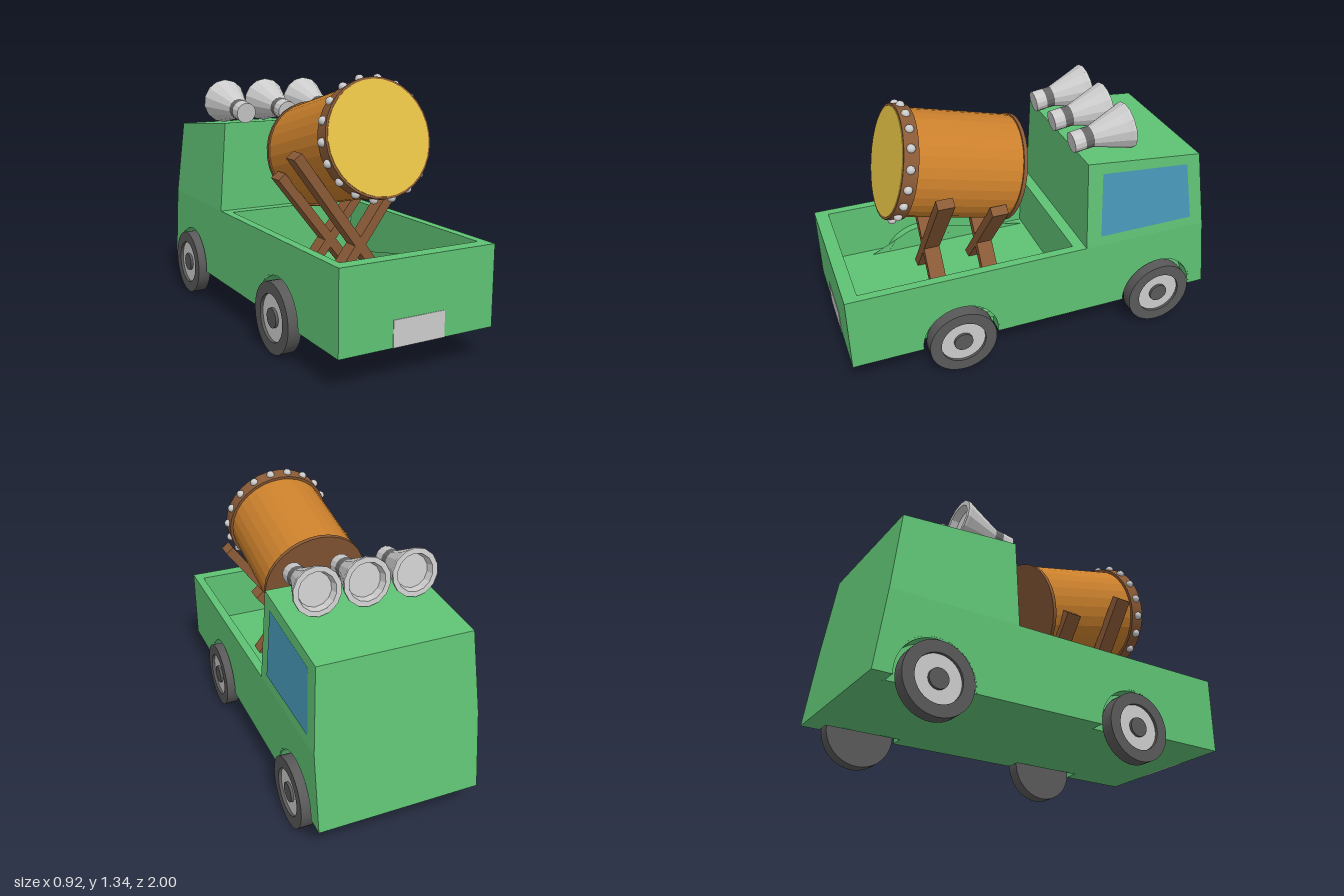
import * as THREE from 'three';
import { toCreasedNormals } from 'three/addons/utils/BufferGeometryUtils.js';

const mat = (color, opts = {}) => new THREE.MeshStandardMaterial({ color, ...opts });
const GREEN = mat(0x5fc274), BLUE = mat(0x4898b8, { side: THREE.DoubleSide });
const GREY = mat(0xcccccc), FLAT_GREY = mat(0xcccccc, { flatShading: true });
const DARK = mat(0x666666, { flatShading: true }), TYRE = mat(0x595959);
const WOOD = mat(0x8a5a36), DRUM = mat(0xcb802c, { flatShading: true }), SKIN = mat(0xe6c246);

const ARCH_R = 0.21, AXLE_Y = 0.18, BOTTOM = 0.165, RIM = 0.57;
const AXLES = [-0.7, 0.43];

export function createModel() {
  const model = new THREE.Group();

  const add = (parent, name, geo, material, x = 0, y = 0, z = 0) => {
    const m = new THREE.Mesh(geo, material);
    m.name = name;
    m.position.set(x, y, z);
    parent.add(m);
    return m;
  };
  // Box given by its limits
  const box = (name, x0, x1, y0, y1, z0, z1, material) =>
    add(model, name, new THREE.BoxGeometry(x1 - x0, y1 - y0, z1 - z0), material,
      (x0 + x1) / 2, (y0 + y1) / 2, (z0 + z1) / 2);
  // Side profile in (z, y), extruded from x0 to x1
  const slab = (name, shape, x0, x1) => {
    const geo = new THREE.ExtrudeGeometry(shape, { depth: x1 - x0, bevelEnabled: false, curveSegments: 28 });
    geo.rotateY(-Math.PI / 2);
    add(model, name, geo, GREEN, x1);
  };
  const bothSides = (name, shape, x0, x1) => {
    slab(name, shape, x0, x1);
    slab(name, shape, -x1, -x0);
  };
  // Wall outline with a round wheel opening cut in its lower edge
  const dip = Math.asin((AXLE_Y - BOTTOM) / ARCH_R);
  const archedWall = (zb, zf, topY, axleZ, zbTop = zb) => {
    const s = new THREE.Shape();
    s.moveTo(zf, BOTTOM);
    s.lineTo(zf, topY);
    s.lineTo(zbTop, topY);
    s.lineTo(zb, BOTTOM);
    s.absarc(axleZ, AXLE_Y, ARCH_R, Math.PI + dip, -dip, true);
    s.closePath();
    return s;
  };

  // Load bed
  bothSides('bedSide', archedWall(-0.2, 1, RIM, AXLES[1]), 0.375, 0.42);
  bothSides('bedFloorEdge', archedWall(-0.2, 0.93, 0.27, AXLES[1]), 0.33, 0.375);
  box('bedFloor', -0.33, 0.33, BOTTOM, 0.27, -0.2, 0.93, GREEN);
  box('tailgate', -0.375, 0.375, BOTTOM, RIM, 0.93, 1, GREEN);
  box('plate', -0.14, 0.14, BOTTOM, 0.295, 0.99, 1.003, GREY);

  // Lower cab
  bothSides('lowerCabSide', archedWall(-1, -0.2, RIM, AXLES[0], -0.946), 0.33, 0.42);
  const core = new THREE.Shape([[-1, BOTTOM], [-0.2, BOTTOM], [-0.2, RIM], [-0.946, RIM]]
    .map(p => new THREE.Vector2(...p)));
  slab('lowerCab', core, -0.33, 0.33);

  // Upper cab, its sides leaning inwards
  const sideX = y => 0.42 - 0.073 * (y - RIM);
  const ring = [[RIM, -0.26], [1.05, -0.26], [0.99, -0.89], [RIM, -0.946]];
  const pts = [1, -1].flatMap(s => ring.flatMap(([y, z]) => [s * sideX(y), y, z]));
  const idx = [0, 3, 2, 0, 2, 1, 4, 6, 7, 4, 5, 6];
  for (let i = 0; i < 4; i++) {
    const j = (i + 1) % 4;
    idx.push(i, j, j + 4, i, j + 4, i + 4);
  }
  const cab = new THREE.BufferGeometry();
  cab.setAttribute('position', new THREE.Float32BufferAttribute(pts, 3));
  cab.setIndex(idx);
  const cabGeo = cab.toNonIndexed();
  cabGeo.computeVertexNormals();
  add(model, 'upperCab', cabGeo, GREEN);

  // Side window
  const win = new THREE.BufferGeometry();
  win.setAttribute('position', new THREE.Float32BufferAttribute(
    [[0.985, -0.34], [0.625, -0.34], [0.625, -0.865], [0.945, -0.82]]
      .flatMap(([y, z]) => [sideX(y) + 0.003, y, z]), 3));
  win.setIndex([0, 1, 2, 0, 2, 3]);
  win.computeVertexNormals();
  add(model, 'sideWindow', win, BLUE);

  // Wheel wells and wheels
  const tyreGeo = toCreasedNormals(new THREE.LatheGeometry(
    [[0, 0], [0.18, 0], [0.18, 0.07], [0.12, 0.07], [0.12, 0.045]].map(p => new THREE.Vector2(...p)), 40), 0.6);
  for (const z of AXLES) {
    const liner = new THREE.Shape();
    liner.absarc(z, AXLE_Y, ARCH_R + 0.002, -dip, Math.PI + dip, false);
    liner.absarc(z, AXLE_Y, ARCH_R - 0.008, Math.PI + dip, -dip, true);
    bothSides('wheelArch', liner, 0.331, 0.419);
    const cap = new THREE.Shape();
    cap.absarc(z, AXLE_Y, ARCH_R + 0.002, -dip, Math.PI + dip, false);
    bothSides('wheelWell', cap, 0.329, 0.34);

    for (const s of [1, -1]) {
      const wheel = new THREE.Group();
      wheel.name = 'wheel';
      add(wheel, 'tyre', tyreGeo, TYRE);
      add(wheel, 'hub', new THREE.CylinderGeometry(0.12, 0.12, 0.03, 40), GREY, 0, 0.04);
      add(wheel, 'hubCap', new THREE.CylinderGeometry(0.05, 0.05, 0.03, 24), TYRE, 0, 0.054);
      wheel.position.set(s * 0.388, AXLE_Y, z);
      wheel.rotation.z = -s * Math.PI / 2;
      model.add(wheel);
    }
  }

  // Crossed trestles: foot height, top point, crossing height, depth
  const trestle = (topX, topY, crossY, z) => {
    const footY = 0.26, footX = topX * (footY - crossY) / (topY - crossY);
    const dx = topX - footX, dy = topY - footY;
    for (const s of [1, -1]) {
      const bar = add(model, 'trestleBar', new THREE.BoxGeometry(0.05, Math.hypot(dx, dy), 0.085), WOOD,
        s * (topX + footX) / 2, (topY + footY) / 2, z);
      bar.rotation.z = -s * Math.atan2(dx, dy);
    }
  };
  trestle(0.347, 0.965, 0.5, 0.462);
  trestle(0.282, 0.82, 0.465, 0.168);

  // Tilted drum with hoops, skin and studs
  const drum = new THREE.Group();
  drum.name = 'drum';
  drum.position.set(0, 0.895, 0.035);
  drum.rotation.x = Math.PI / 2 - 0.245;
  model.add(drum);
  add(drum, 'shell', new THREE.CylinderGeometry(0.272, 0.272, 0.62, 32), DRUM, 0, 0.32);
  add(drum, 'backHoop', new THREE.CylinderGeometry(0.28, 0.28, 0.02, 32), WOOD, 0, 0.01);
  add(drum, 'frontHoop', new THREE.CylinderGeometry(0.287, 0.287, 0.075, 32), WOOD, 0, 0.6025);
  add(drum, 'skin', new THREE.CylinderGeometry(0.276, 0.276, 0.006, 32), SKIN, 0, 0.64);
  const studGeo = new THREE.SphereGeometry(0.022, 12, 8);
  for (let i = 0; i < 18; i++) {
    const a = (i + 0.5) * Math.PI / 9;
    add(drum, 'stud', studGeo, GREY, 0.287 * Math.sin(a), 0.605, 0.287 * Math.cos(a));
  }

  // Three roof horns
  const bellGeo = new THREE.LatheGeometry(
    [[0.055, 0.105], [0.111, 0.27], [0.121, 0.295], [0.121, 0.308], [0.095, 0.308], [0.085, 0.27], [0, 0.27]]
      .map(p => new THREE.Vector2(...p)), 14);
  for (const x of [-0.27, -0.02, 0.23]) {
    const horn = new THREE.Group();
    horn.name = 'horn';
    horn.position.set(x, 1.1, -0.235);
    horn.rotation.x = 0.147 - Math.PI / 2;
    add(horn, 'driver', new THREE.CylinderGeometry(0.055, 0.055, 0.06, 14), FLAT_GREY, 0, 0.03);
    add(horn, 'collar', new THREE.CylinderGeometry(0.055, 0.055, 0.045, 14), DARK, 0, 0.0825);
    add(horn, 'bell', bellGeo, FLAT_GREY);
    model.add(horn);
  }
  return model;
}
